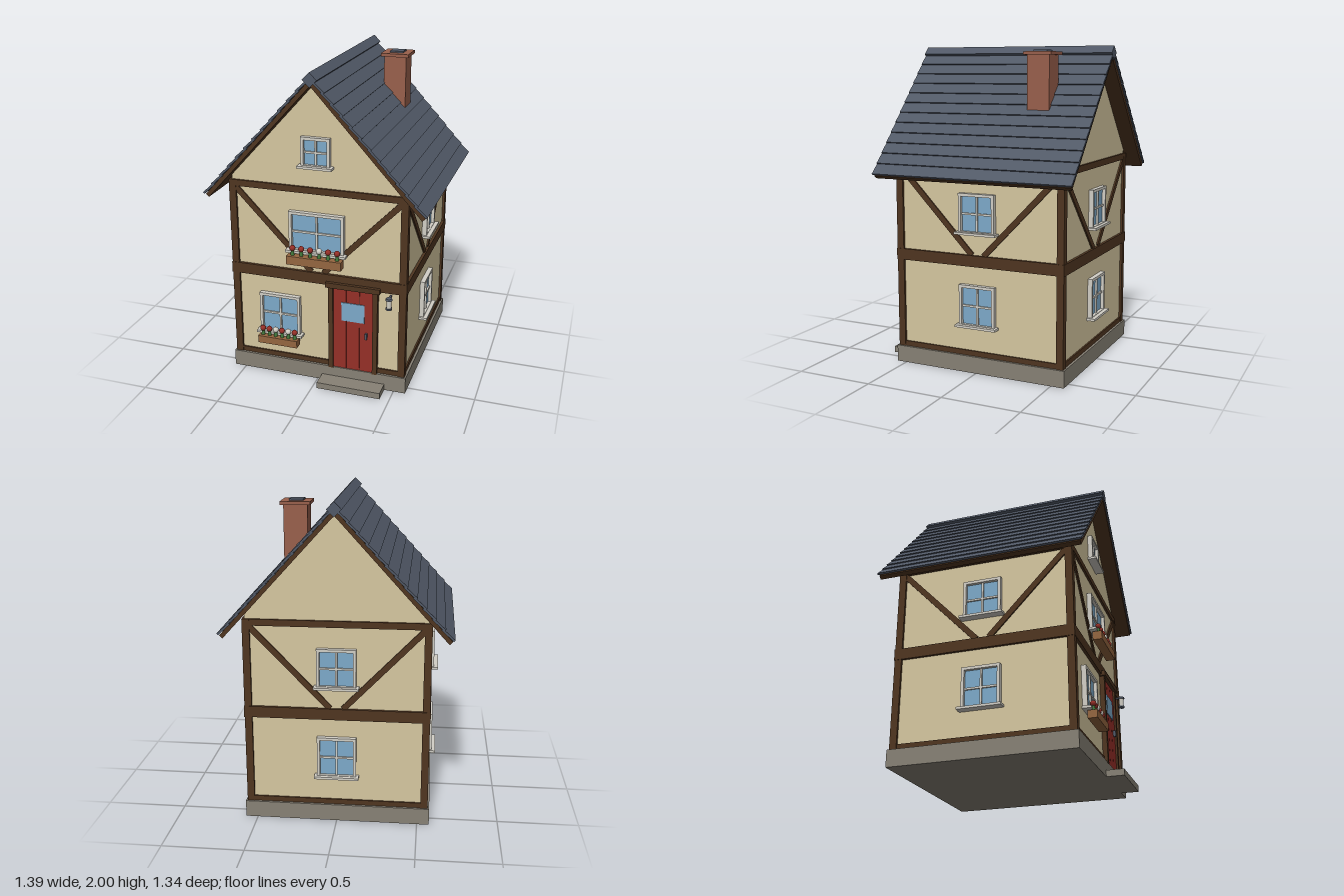
import * as THREE from 'three';

const mat = (name, color) => {
  const m = new THREE.MeshStandardMaterial({ color });
  m.name = name;
  return m;
};

export function createModel() {
  const M = {
    plaster: mat('plaster', 0xd6c7a0),
    timber: mat('timber', 0x4f3520),
    stone: mat('stone', 0x878175),
    slate: mat('slate', 0x515967),
    brick: mat('brick', 0x99604c),
    glass: mat('glass', 0x7daaca),
    trim: mat('trim', 0xd2cfc6),
    red: mat('red', 0x962f27),
    planter: mat('planter wood', 0x946640),
    leaf: mat('leaf', 0x427a3c),
  };

  const group = (name, parent) => {
    const g = new THREE.Group();
    g.name = name;
    parent.add(g);
    return g;
  };
  const add = (parent, name, geo, m, x = 0, y = 0, z = 0) => {
    const mesh = new THREE.Mesh(geo, m);
    mesh.name = name;
    mesh.position.set(x, y, z);
    parent.add(mesh);
    return mesh;
  };
  // box given by its limits on each axis
  const box = (parent, name, m, x0, x1, y0, y1, z0, z1) =>
    add(parent, name, new THREE.BoxGeometry(x1 - x0, y1 - y0, z1 - z0), m,
      (x0 + x1) / 2, (y0 + y1) / 2, (z0 + z1) / 2);

  const model = new THREE.Group();
  model.name = 'cottage';
  const house = group('house', model);
  house.position.z = -0.01;

  const H = 0.55;          // half width of the walls
  const APEX = 1.92;       // underside of the roof at the ridge
  const SLOPE = 1.1;
  const ANGLE = Math.atan(SLOPE);

  // foundation and doorstep
  box(house, 'foundation', M.stone, -0.575, 0.575, 0, 0.105, -0.575, 0.575);
  box(house, 'doorstep', M.stone, 0.03, 0.44, 0, 0.04, 0.57, 0.685);

  // walls with gables
  const outline = new THREE.Shape([
    [-H, 0.1], [H, 0.1], [H, APEX - SLOPE * H], [0, APEX], [-H, APEX - SLOPE * H],
  ].map(([x, y]) => new THREE.Vector2(x, y)));
  add(house, 'walls', new THREE.ExtrudeGeometry(outline, { depth: 2 * H, bevelEnabled: false }),
    M.plaster, 0, 0, -H);

  // corner posts
  for (const sx of [-1, 1]) for (const sz of [-1, 1]) {
    add(house, 'cornerPost', new THREE.BoxGeometry(0.045, 1.185, 0.045), M.timber,
      sx * 0.5425, 0.6975, sz * 0.5425);
  }

  // window lying in the local xy plane, facing +z; y0 is the sill underside
  const windowUnit = (parent, x, y0, w, h, name = 'window') => {
    const g = group(name, parent);
    g.position.set(x, y0, H);
    const a = w / 2, f = 0.018;
    box(g, 'glass', M.glass, -a + f, a - f, f, h - f, 0, 0.009);
    for (const s of [-1, 1]) {
      add(g, 'frameSide', new THREE.BoxGeometry(f, h, 0.03), M.trim, s * (a - f / 2), h / 2, 0.015);
    }
    box(g, 'frameTop', M.trim, -a + f, a - f, h - f, h, 0, 0.03);
    box(g, 'frameBottom', M.trim, -a + f, a - f, 0, f, 0, 0.03);
    box(g, 'mullion', M.trim, -0.006, 0.006, f, h - f, 0, 0.02);
    box(g, 'glazingBar', M.trim, -a + f, a - f, h / 2 - 0.006, h / 2 + 0.006, 0, 0.019);
    box(g, 'sill', M.trim, -a - 0.017, a + 0.017, 0, 0.015, 0, 0.055);
  };

  // timber framing of the four sides: front, left, back, right
  const sides = ['front', 'left', 'back', 'right'].map((name, i) => {
    const g = group(name + 'Facade', house);
    g.rotation.y = i * Math.PI / 2;
    for (const [y0, y1, out] of [[0.105, 0.137, 0.01], [0.67, 0.74, 0.018], [1.25, 1.29, 0.014]]) {
      box(g, 'beam', M.timber, -H - out, H + out, y0, y1, H - 0.01, H + out);
    }
    for (const s of [-1, 1]) {
      const dx = 0.49, dy = 0.51;
      const brace = add(g, 'brace', new THREE.BoxGeometry(0.036, Math.hypot(dx, dy), 0.016), M.timber,
        s * 0.285, 0.995, H + 0.002);
      brace.rotation.z = -s * Math.atan2(dx, dy);
    }
    if (i > 0) {
      windowUnit(g, 0, 0.29, 0.24, 0.265, 'lowerWindow');
      windowUnit(g, 0, 0.87, 0.24, 0.25, 'upperWindow');
    }
    return g;
  });
  const front = sides[0];
  windowUnit(front, 0, 0.87, 0.35, 0.26, 'upperWindow');
  windowUnit(front, -0.248, 0.285, 0.268, 0.272, 'lowerWindow');
  windowUnit(front, 0, 1.415, 0.18, 0.187, 'atticWindow');

  // flower boxes
  const bloom = new THREE.IcosahedronGeometry(0.019, 1);
  const stem = new THREE.CylinderGeometry(0.008, 0.013, 0.05, 8);
  const flowerBox = (x, y0, y1, w, colours) => {
    const g = group('flowerBox', front);
    g.position.x = x;
    box(g, 'planter', M.planter, -w / 2, w / 2, y0, y1, 0.577, 0.635);
    colours.forEach((m, i) => {
      const fx = ((i + 0.5) / colours.length - 0.5) * w * 0.98;
      add(g, 'stem', stem, M.leaf, fx, y1 + 0.02, 0.606);
      add(g, 'flower', bloom, m, fx, y1 + 0.045, 0.606);
    });
  };
  flowerBox(0, 0.805, 0.86, 0.35, [M.red, M.red, M.red, M.trim, M.red, M.red]);
  flowerBox(-0.248, 0.23, 0.278, 0.262, [M.red, M.red, M.trim, M.red, M.trim, M.red]);

  // door
  const door = group('door', front);
  for (let i = 0; i < 3; i++) {
    const x = 0.105 + i * 0.0855;
    box(door, 'plank', M.red, x, x + 0.0825, 0.105, 0.665, H - 0.01, H + 0.018);
  }
  box(door, 'plankGap', M.timber, 0.105, 0.36, 0.105, 0.665, H, H + 0.012);
  box(door, 'doorGlass', M.glass, 0.158, 0.306, 0.443, 0.567, H + 0.016, H + 0.023);
  box(door, 'handle', M.slate, 0.313, 0.325, 0.338, 0.378, H + 0.016, H + 0.035);
  box(door, 'jamb', M.timber, 0.075, 0.105, 0.1, 0.665, H - 0.01, H + 0.03);
  box(door, 'jamb', M.timber, 0.36, 0.39, 0.1, 0.665, H - 0.01, H + 0.03);
  box(door, 'lintel', M.timber, 0.06, 0.405, 0.662, 0.695, H - 0.01, H + 0.04);

  // wall lantern
  const lantern = group('lantern', front);
  lantern.position.set(0.467, 0, 0.6);
  add(lantern, 'lanternBody', new THREE.CylinderGeometry(0.015, 0.015, 0.055, 8), M.trim, 0, 0.617, 0);
  add(lantern, 'lanternCap', new THREE.CylinderGeometry(0.019, 0.023, 0.012, 8), M.slate, 0, 0.65, 0);
  add(lantern, 'lanternBase', new THREE.CylinderGeometry(0.021, 0.021, 0.01, 8), M.slate, 0, 0.587, 0);
  box(lantern, 'lanternBracket', M.slate, -0.005, 0.005, 0.645, 0.655, -0.05, 0);

  // roof: timber deck with overlapping slate courses on each slope
  const LENGTH = 0.985, ROWS = 12, pitch = LENGTH / ROWS;
  for (const s of [1, -1]) {
    const turn = group(s > 0 ? 'leftRoof' : 'rightRoof', house);
    turn.rotation.y = s > 0 ? 0 : Math.PI;
    const slope = group('slope', turn);
    slope.position.y = APEX;
    slope.rotation.z = -ANGLE;
    box(slope, 'deck', M.timber, 0, LENGTH, 0, 0.026, -0.648, 0.648);
    for (let i = 0; i < ROWS; i++) {
      const course = add(slope, 'slateCourse', new THREE.BoxGeometry(pitch * 1.2, 0.013, 1.315), M.slate,
        (i + 0.4) * pitch, 0.034, 0);
      course.rotation.z = 0.09;
    }
  }
  const ridge = add(house, 'ridgeCap', new THREE.BoxGeometry(0.062, 0.062, 1.315), M.slate, 0, 1.956, 0);
  ridge.rotation.z = Math.PI / 4;

  // chimney
  const chimney = group('chimney', house);
  chimney.position.set(0.262, 0, -0.297);
  box(chimney, 'shaft', M.brick, -0.072, 0.072, 1.5, 1.945, -0.072, 0.072);
  box(chimney, 'cap', M.brick, -0.09, 0.09, 1.942, 1.962, -0.09, 0.09);
  box(chimney, 'flue', M.slate, -0.043, 0.043, 1.95, 1.972, -0.043, 0.043);

  return model;
}
